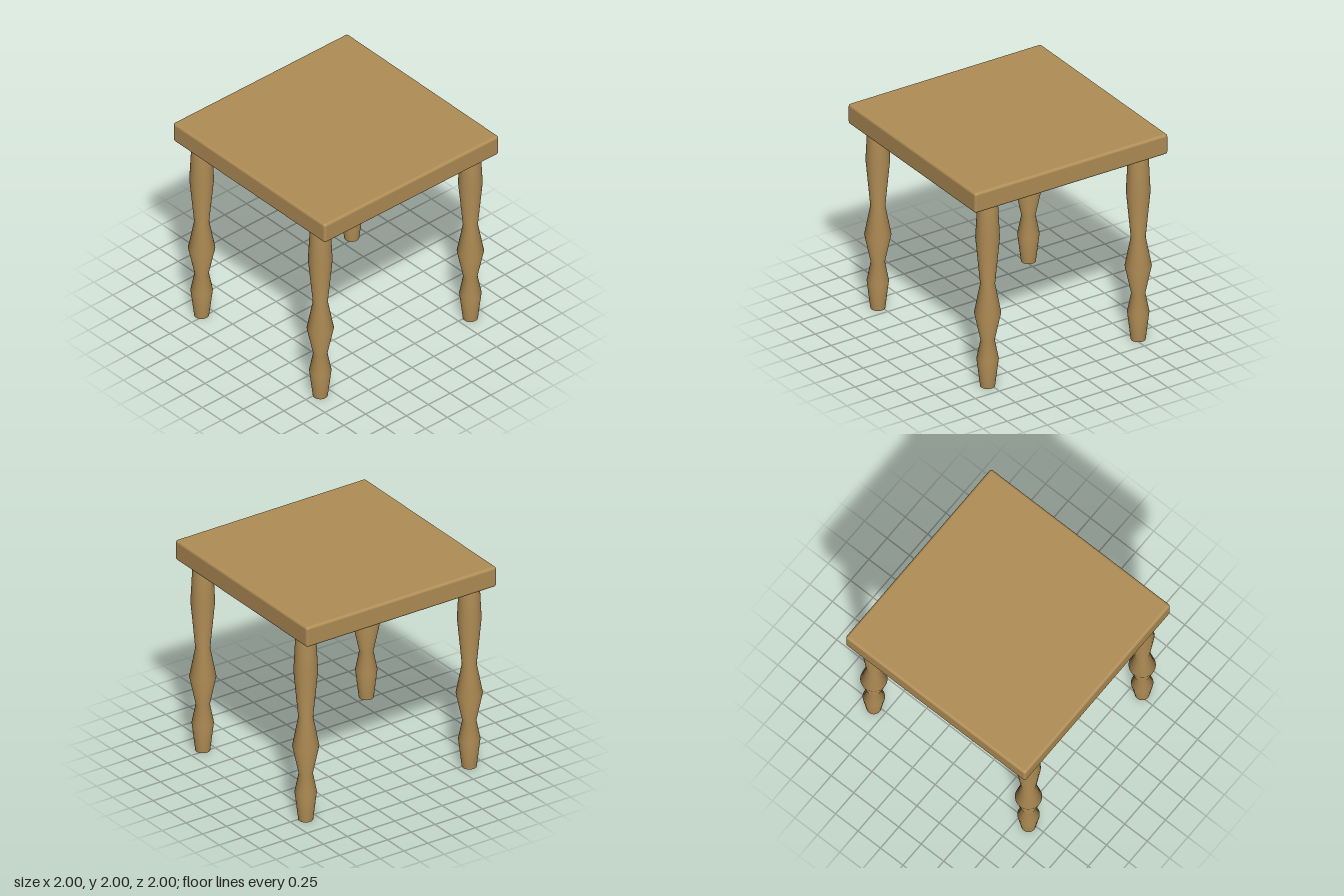
import * as THREE from 'three';
import { RoundedBoxGeometry } from 'three/addons/geometries/RoundedBoxGeometry.js';

export function createModel() {
  const group = new THREE.Group();
  group.name = 'table';
  const wood = new THREE.MeshStandardMaterial({ color: 0xb08d55 });
  const legWood = new THREE.MeshStandardMaterial({ color: 0xb08d55, side: THREE.DoubleSide });

  // Square slab with softly rounded edges
  const thickness = 0.195;
  const top = new THREE.Mesh(new RoundedBoxGeometry(2, thickness, 2, 4, 0.025), wood);
  top.name = 'tableTop';
  top.position.y = 2 - thickness / 2;
  group.add(top);

  // Turned leg profile (radius, height), open at the foot
  const profile = [
    [0.065, 0], [0.097, 0.27], [0.062, 0.45], [0.118, 0.72],
    [0.065, 1.0], [0.107, 1.45], [0.089, 1.81],
  ].map(([r, y]) => new THREE.Vector2(r, y));
  const legGeometry = new THREE.LatheGeometry(profile, 32);

  // Four legs, set slightly further in from front and back than from the sides
  for (const [endName, sz] of [['front', 1], ['back', -1]]) {
    for (const [sideName, sx] of [['Left', 1], ['Right', -1]]) {
      const leg = new THREE.Mesh(legGeometry, legWood);
      leg.name = `${endName}${sideName}Leg`;
      leg.position.set(sx * 0.86, 0, sz * 0.78);
      group.add(leg);
    }
  }
  return group;
}
